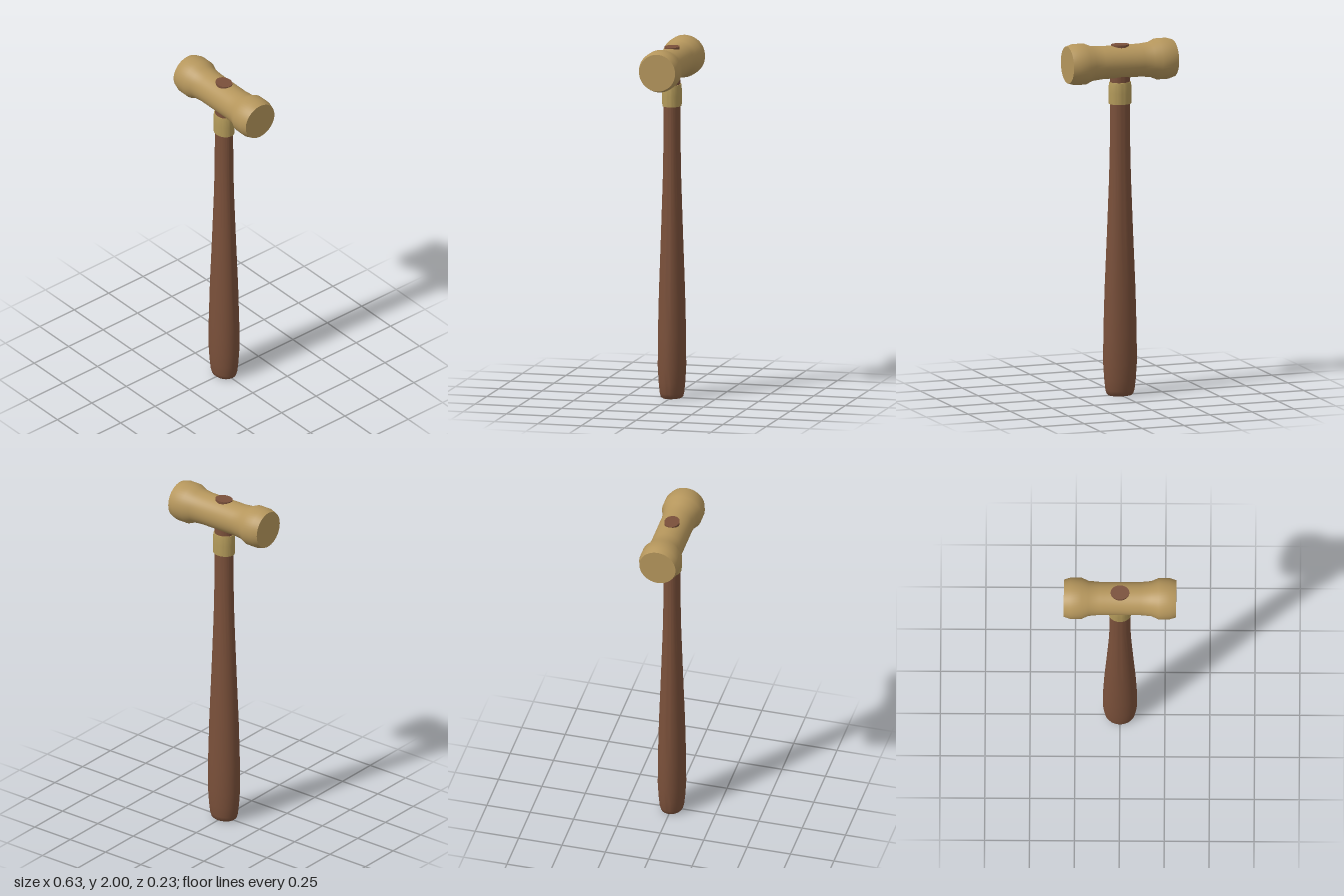
import * as THREE from 'three';
import { toCreasedNormals } from 'three/addons/utils/BufferGeometryUtils.js';

const headWood = new THREE.MeshStandardMaterial({ color: 0xb5965c });
headWood.name = 'pale head';
const collarBrass = new THREE.MeshStandardMaterial({ color: 0xb39a5a });
collarBrass.name = 'brass collar';
const handleWood = new THREE.MeshStandardMaterial({ color: 0x7a503a });
handleWood.name = 'brown handle wood';

// Turned part from [radius, height] pairs, flattened along z by depth
function turned(name, profile, material, depth = 1) {
  const points = profile.map(([r, y]) => new THREE.Vector2(r, y));
  const geometry = new THREE.LatheGeometry(points, 48);
  geometry.scale(1, 1, depth);
  const mesh = new THREE.Mesh(toCreasedNormals(geometry, 0.65), material);
  mesh.name = name;
  return mesh;
}

export function createModel() {
  const model = new THREE.Group();
  model.name = 'mallet';

  // Oval handle, thick at the grip and passing through the head
  model.add(turned('handle', [
    [0, 0], [0.066, 0], [0.076, 0.008], [0.083, 0.03], [0.09, 0.09], [0.096, 0.18],
    [0.095, 0.35], [0.088, 0.6], [0.074, 0.93], [0.062, 1.24], [0.058, 1.42],
    [0.057, 1.64], [0.056, 1.78], [0.052, 1.9], [0.052, 1.984], [0, 1.984],
  ], handleWood, 0.815));

  // Metal collar below the head
  model.add(turned('collar', [
    [0.056, 1.648], [0.064, 1.65], [0.065, 1.71], [0.064, 1.755], [0.061, 1.772], [0.055, 1.772],
  ], collarBrass, 0.835));

  // Head: one half profile mirrored, then laid along x
  const half = [[0, 0.313], [0.104, 0.313], [0.115, 0.277], [0.115, 0.214], [0.098, 0.175], [0.0925, 0.115]];
  const profile = [
    ...half.map(([r, x]) => [r, -x]),
    ...half.slice().reverse(),
  ];
  const head = turned('head', profile, headWood);
  head.rotation.z = -Math.PI / 2;
  head.position.y = 1.887;
  model.add(head);

  return model;
}
